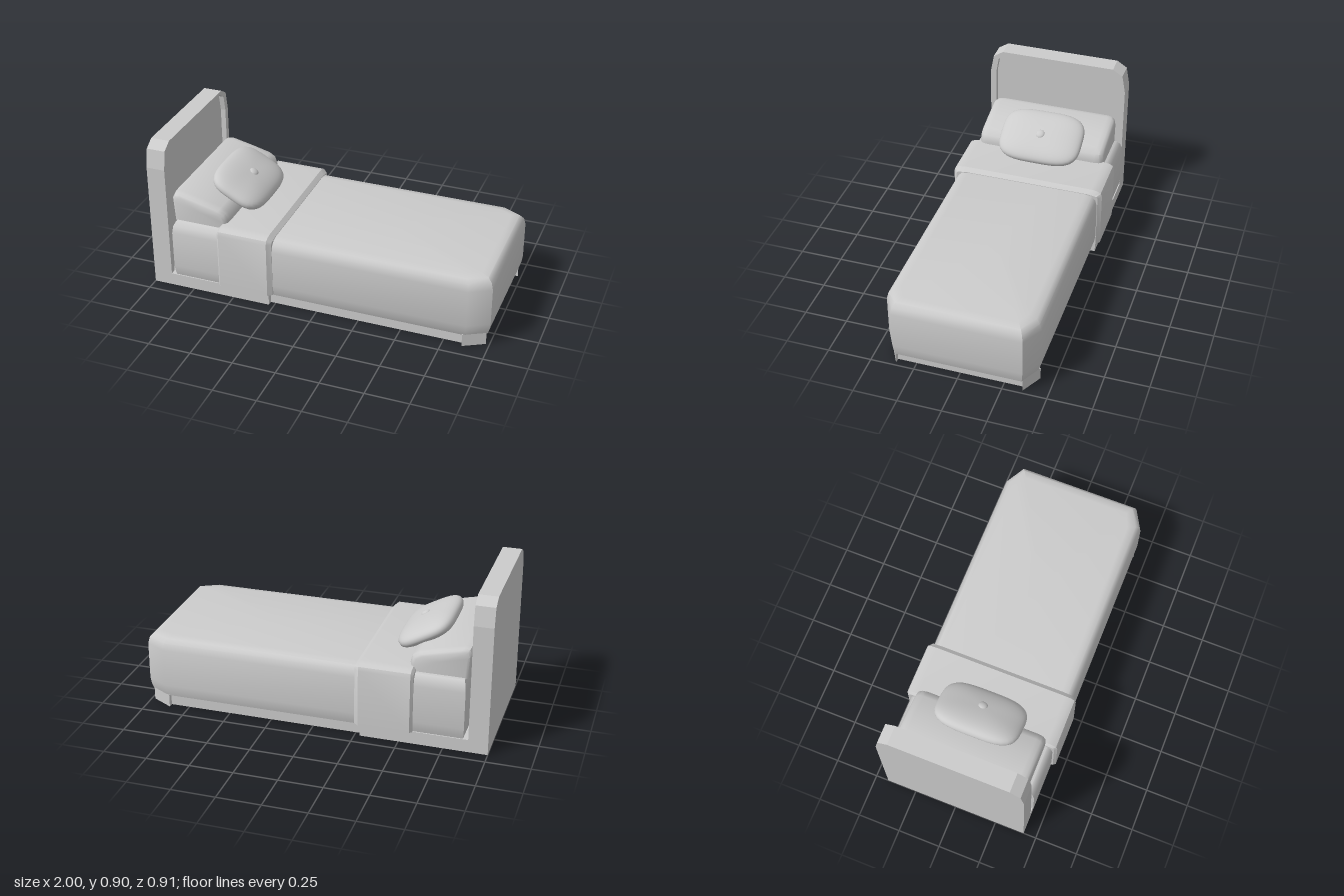
import * as THREE from 'three';
import { mergeVertices, toCreasedNormals } from 'three/addons/utils/BufferGeometryUtils.js';

const material = new THREE.MeshStandardMaterial({ color: 0xcccccc });

function part(name, geometry) {
  const mesh = new THREE.Mesh(geometry, material);
  mesh.name = name;
  return mesh;
}

// Skin a list of equal-length rings (counter-clockwise about their travel) and cap both ends
function loft(rings, crease = 0.7) {
  const n = rings[0].length;
  const pos = rings.flat(2);
  const idx = [];
  for (let i = 0; i < rings.length - 1; i++) {
    for (let j = 0; j < n; j++) {
      const a = i * n + j, b = i * n + (j + 1) % n;
      idx.push(a, b, b + n, a, b + n, a + n);
    }
  }
  [0, rings.length - 1].forEach((r, end) => {
    const c = pos.length / 3;
    for (let k = 0; k < 3; k++) pos.push(rings[r].reduce((s, p) => s + p[k], 0) / n);
    for (let j = 0; j < n; j++) {
      const a = r * n + j, b = r * n + (j + 1) % n;
      idx.push(c, end ? a : b, end ? b : a);
    }
  });
  const g = new THREE.BufferGeometry();
  g.setAttribute('position', new THREE.Float32BufferAttribute(pos, 3));
  g.setIndex(idx);
  return toCreasedNormals(g, crease);
}

// Mirror a half outline [u, v] to a closed one
const mirrored = (half) => [...half, ...half.map(([u, v]) => [-u, v]).reverse()];
const toPoints = (pts) => pts.map(([u, v]) => new THREE.Vector2(u, v));

// Extrude a z/y outline along x from x0 to x1
function panel(outline, x0, x1, hole) {
  const shape = new THREE.Shape(toPoints(outline));
  if (hole) shape.holes.push(new THREE.Path(toPoints(hole)));
  const g = new THREE.ExtrudeGeometry(shape, { depth: x1 - x0, bevelEnabled: false });
  return g.rotateY(Math.PI / 2).translate(x0, 0, 0);
}

function headboard() {
  const group = new THREE.Group();
  group.name = 'headboard';
  const outer = mirrored([[0.425, 0], [0.425, 0.755], [0.405, 0.865], [0.345, 0.903]]);
  const inner = mirrored([[0.39, 0.07], [0.39, 0.755], [0.373, 0.85], [0.325, 0.885]]);
  group.add(part('headboardBack', panel(outer, -1, -0.92)));
  group.add(part('headboardFrame', panel(outer, -0.92, -0.89, inner)));
  return group;
}

// Plinth with set-back rails and a chamfered foot at each far corner
function base() {
  const side = [[-0.89, 0.425], [-0.28, 0.425], [-0.28, 0.395], [0.86, 0.395],
    [0.86, 0.425], [0.98, 0.36], [0.95, 0.36]];
  const outline = [...side, ...side.map(([x, z]) => [x, -z]).reverse()];
  const g = new THREE.ExtrudeGeometry(new THREE.Shape(toPoints(outline)), { depth: 0.075, bevelEnabled: false });
  return part('base', g.rotateX(-Math.PI / 2));
}

// Covered mattress, stacked upward with softened edges
function mattress() {
  const levels = [[0.07, 0.015], [0.1, 0.006], [0.14, 0], [0.36, 0],
    [0.4, 0.01], [0.423, 0.032], [0.431, 0.075]];
  return part('mattress', loft(levels.map(([y, i]) => {
    const side = [[-0.865 + i * 0.4, 0.432 - i], [0.88 - i * 0.5, 0.432 - i], [1 - i, 0.365 - i * 0.6]];
    return [...side, ...side.map(([x, z]) => [x, -z]).reverse()].map(([x, z]) => [x, y, z]);
  })));
}

// Folded blanket band wrapped over the bed
function blanketFold() {
  const stations = [[-0.58, 0.014], [-0.567, 0], [-0.275, 0], [-0.25, 0.02]];
  return part('blanketFold', loft(stations.map(([x, i]) => {
    const half = [[0.455 - i, 0.08], [0.455 - i, 0.415], [0.447 - i, 0.437 - i * 0.6],
      [0.425 - i, 0.449 - i], [0.39 - i, 0.454 - i]];
    return mirrored(half).reverse().map(([z, y]) => [x, y, z]);
  }), 0.6));
}

// Wedge-shaped pillow against the headboard, tapering at both ends
function pillow() {
  const profile = [[-0.875, 0.42], [-0.545, 0.42], [-0.54, 0.47], [-0.552, 0.51], [-0.59, 0.535],
    [-0.7, 0.563], [-0.84, 0.595], [-0.87, 0.588], [-0.885, 0.56]];
  const stations = [[-0.385, 0.84], [-0.378, 0.92], [-0.362, 0.975], [-0.335, 1],
    [0.335, 1], [0.362, 0.975], [0.378, 0.92], [0.385, 0.84]];
  return part('pillow', loft(stations.map(([z, s]) =>
    profile.map(([x, y]) => [-0.71 + (x + 0.71) * s, 0.42 + (y - 0.42) * s, z])), 0.75));
}

// Plump rounded-rectangle cushion, leaning on the pillow
function cushion() {
  const group = new THREE.Group();
  group.name = 'cushion';
  let g = new THREE.SphereGeometry(1, 48, 28);
  const p = g.attributes.position, P = 3.6, Q = 2.4;
  for (let i = 0; i < p.count; i++) {
    const [x, y, z] = [p.getX(i), p.getY(i), p.getZ(i)];
    const plan = Math.abs(x) ** P + Math.abs(z) ** P;
    const r = (plan ** (Q / P) + Math.abs(y) ** Q) ** (1 / Q);
    p.setXYZ(i, 0.173 * x / r, 0.06 * y / r, 0.25 * z / r);
  }
  g.deleteAttribute('uv');
  g.deleteAttribute('normal');
  g = mergeVertices(g, 1e-5);
  g.computeVertexNormals();
  group.add(part('cushionBody', g));
  const button = part('cushionButton', new THREE.SphereGeometry(0.027, 24, 14));
  button.scale.y = 0.5;
  button.position.set(0.008, 0.057, 0);
  group.add(button);
  group.position.set(-0.57, 0.553, 0);
  group.rotation.z = -0.5;
  return group;
}

export function createModel() {
  const bed = new THREE.Group();
  bed.name = 'bed';
  bed.add(headboard(), base(), mattress(), blanketFold(), pillow(), cushion());
  return bed;
}
